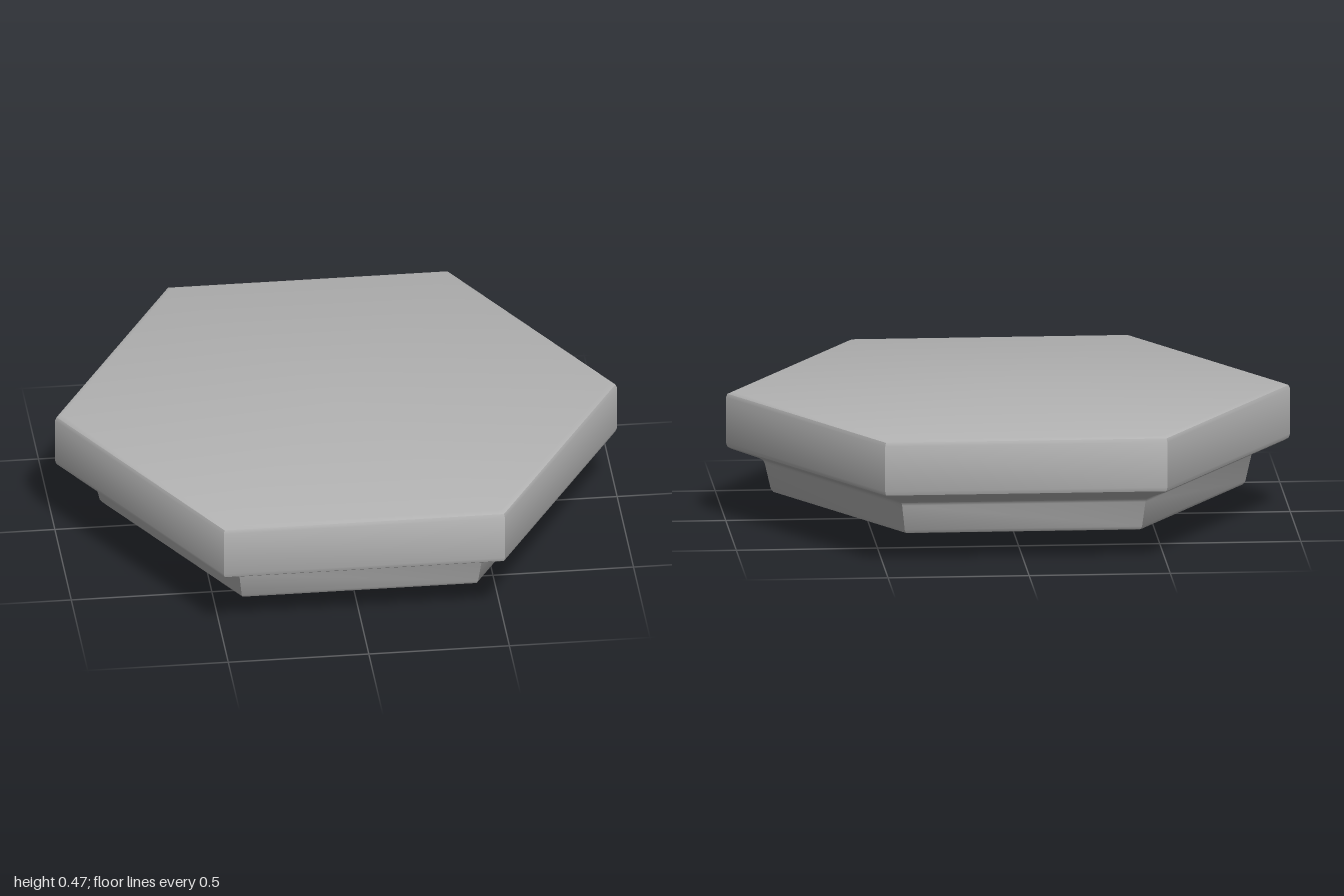
import * as THREE from 'three';
import { toCreasedNormals } from 'three/addons/utils/BufferGeometryUtils.js';

// Six-sided solid from a profile of [corner radius, height], corners on the x axis
function hexLathe(profile) {
  const points = profile.map(([r, y]) => new THREE.Vector2(r, y));
  const geometry = new THREE.LatheGeometry(points, 6, Math.PI / 6);
  return toCreasedNormals(geometry, 0.65);
}

export function createModel() {
  const group = new THREE.Group();
  group.name = 'hexagonalPlate';

  const grey = new THREE.MeshStandardMaterial({ color: 0xb3b3b3 });
  grey.name = 'grey';

  const add = (name, profile) => {
    const mesh = new THREE.Mesh(hexLathe(profile), grey);
    mesh.name = name;
    group.add(mesh);
  };

  // Shallow pointed underside, tapered neck and sloping shoulder up to the
  // wide slab with its rounded rims
  add('plateBody', [
    [0, 0], [0.135, 0],
    [0.815, 0.097], [0.832, 0.101], [0.841, 0.113],
    [0.862, 0.205], [0.868, 0.216], [0.882, 0.224],
    [0.98, 0.259], [0.994, 0.267], [1, 0.282],
    [1, 0.445], [0.994, 0.458], [0.974, 0.465],
    [0, 0.465],
  ]);

  return group;
}
